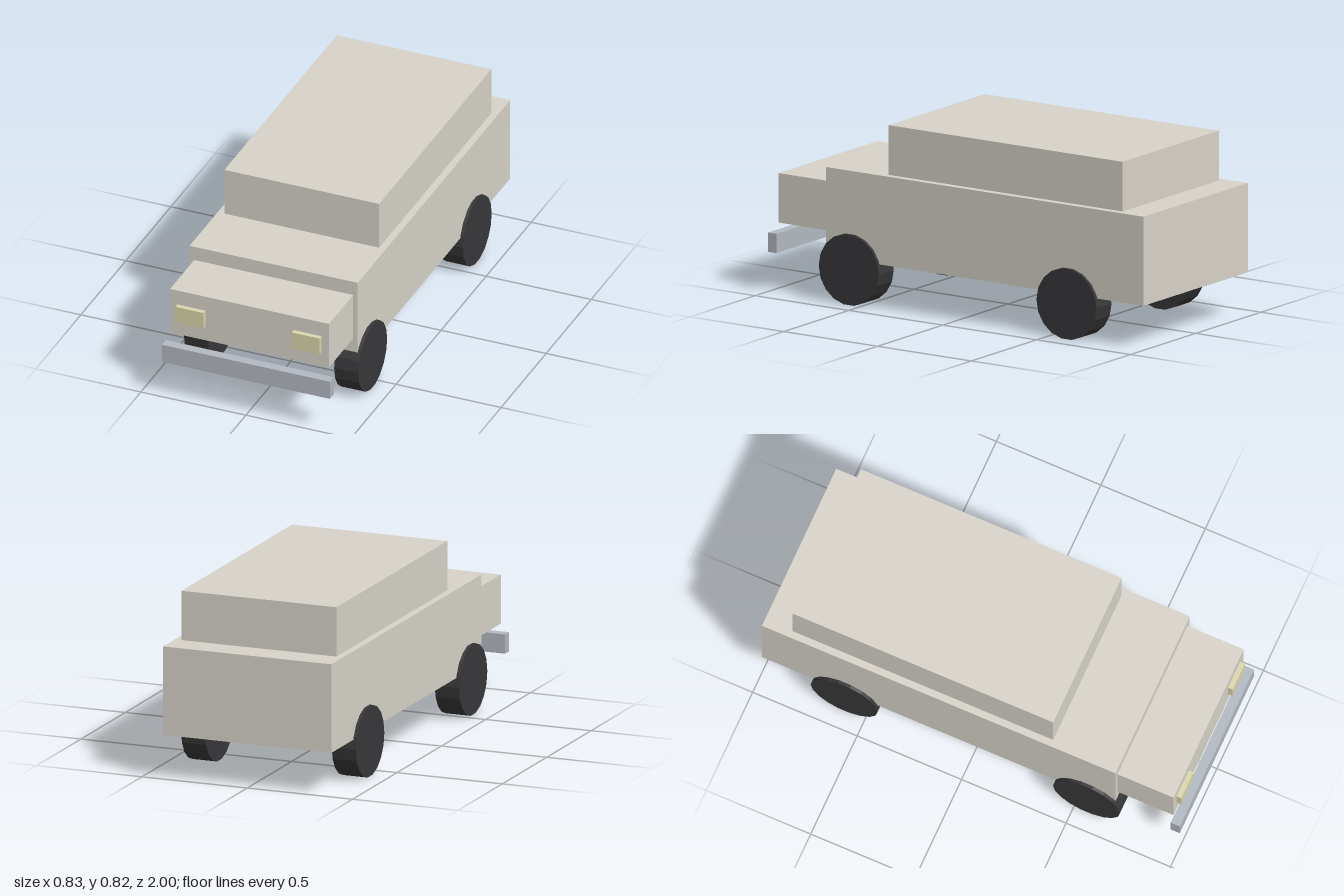
import * as THREE from 'three';

const paint = new THREE.MeshStandardMaterial({ color: 0xd8d4ca, flatShading: true });
const metal = new THREE.MeshStandardMaterial({ color: 0xb4bac2, flatShading: true });
const lamp = new THREE.MeshStandardMaterial({ color: 0xdcd8ae, flatShading: true });
const rubber = new THREE.MeshStandardMaterial({ color: 0x38383a, flatShading: true });

export function createModel() {
  const car = new THREE.Group();
  car.name = 'car';

  // Box given by its lower and upper limits on each axis
  const box = (name, material, [x0, x1], [y0, y1], [z0, z1]) => {
    const mesh = new THREE.Mesh(new THREE.BoxGeometry(x1 - x0, y1 - y0, z1 - z0), material);
    mesh.position.set((x0 + x1) / 2, (y0 + y1) / 2, (z0 + z1) / 2);
    mesh.name = name;
    car.add(mesh);
  };

  // Bodywork
  box('body', paint, [-0.4, 0.4], [0.2, 0.6], [-1, 0.692]);
  box('cabin', paint, [-0.368, 0.368], [0.6, 0.823], [-0.867, 0.38]);
  box('hood', paint, [-0.378, 0.378], [0.311, 0.533], [0.692, 0.96]);
  box('frontBumper', metal, [-0.4, 0.4], [0.178, 0.265], [0.956, 1]);

  // Headlights and wheels, mirrored left and right
  const wheelShape = new THREE.CylinderGeometry(0.16, 0.16, 0.115, 18).rotateZ(Math.PI / 2);
  for (const [side, s] of [['left', 1], ['right', -1]]) {
    const lightX = [s * 0.21, s * 0.343].sort((a, b) => a - b);
    box(side + 'Headlight', lamp, lightX, [0.382, 0.462], [0.96, 0.982]);
    for (const [end, z] of [['Front', 0.56], ['Rear', -0.6]]) {
      const wheel = new THREE.Mesh(wheelShape, rubber);
      wheel.position.set(s * 0.3575, 0.158, z);
      wheel.name = side + end + 'Wheel';
      car.add(wheel);
    }
  }
  return car;
}
